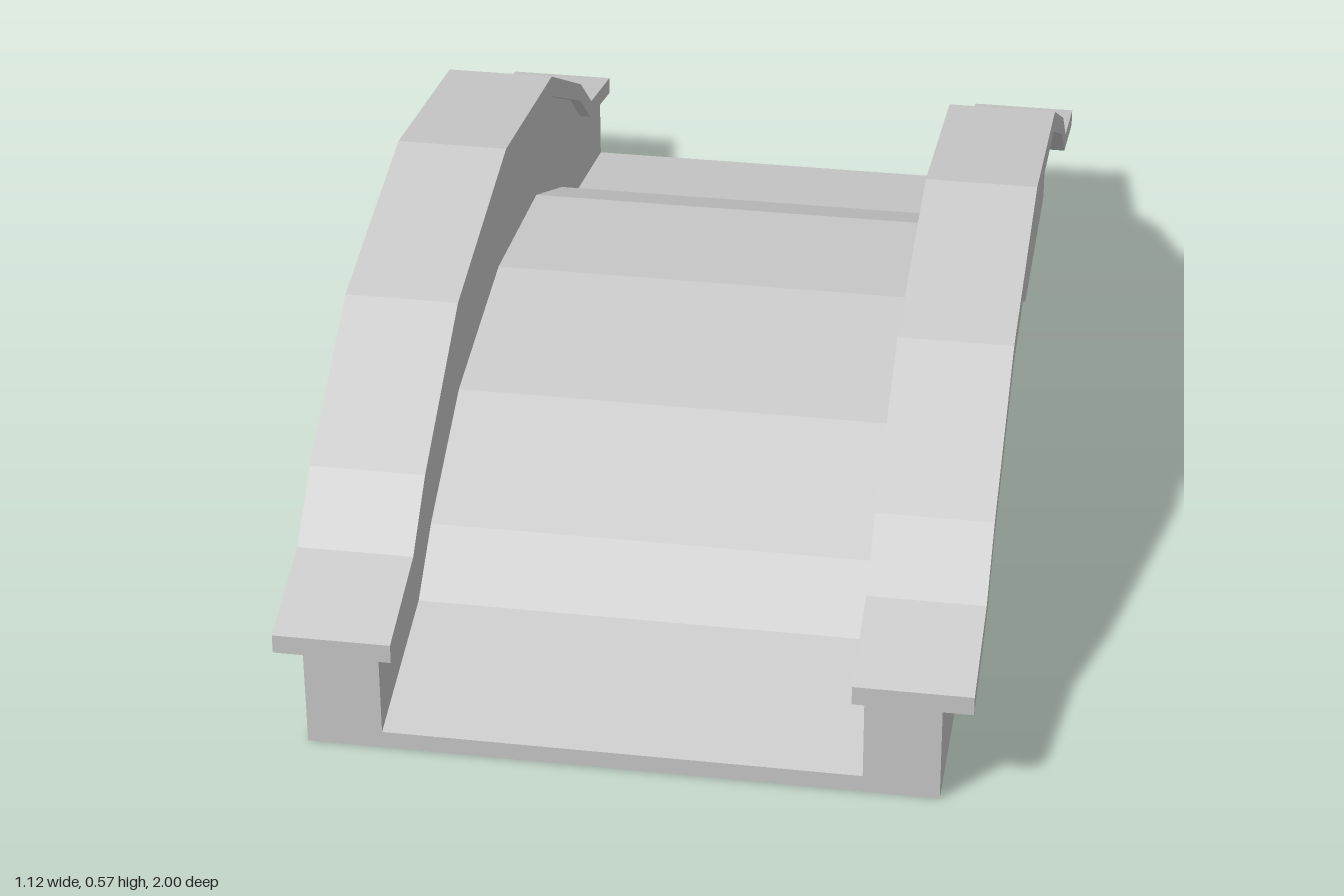
import * as THREE from 'three';

const CREST = 0.01; // z of the crown of the arch

// Half profiles as [distance from crown, height], running from crown to end
const underside = [[0, 0.267], [0.295, 0.232], [0.515, 0.135], [0.59, 0], [1, 0]];
const deckTop = [[0, 0.332], [0.35, 0.288], [0.595, 0.173], [0.705, 0.092], [1, 0.03]];
const capBottom = [[0, 0.527], [0.415, 0.462], [0.695, 0.31], [0.795, 0.223], [1, 0.167]];
const capTop = [[0, 0.57], [0.42, 0.5], [0.705, 0.34], [0.81, 0.25], [1, 0.2]];

// Full line from back to front, mirrored about the crown, ending at z = -1 and 1
function fullLine(half) {
  const point = (side) => ([d, y]) => new THREE.Vector2(d === 1 ? side : CREST + side * d, y);
  return [...half.slice(1).reverse().map(point(-1)), ...half.map(point(1))];
}

// Solid between two profile lines, spanning x0 to x1
function band(name, lower, upper, x0, x1, material) {
  const shape = new THREE.Shape([...fullLine(lower), ...fullLine(upper).reverse()]);
  const geometry = new THREE.ExtrudeGeometry(shape, { depth: x1 - x0, bevelEnabled: false });
  geometry.rotateY(-Math.PI / 2).translate(x1, 0, 0);
  const mesh = new THREE.Mesh(geometry, material);
  mesh.name = name;
  return mesh;
}

export function createModel() {
  const model = new THREE.Group();
  model.name = 'archedBridge';
  const material = new THREE.MeshStandardMaterial({ color: 0xcccccc, flatShading: true });

  // Walkway
  model.add(band('deck', underside, deckTop, -0.388, 0.388, material));

  // Parapet walls with overhanging coping on both sides
  for (const [side, s] of [['left', 1], ['right', -1]]) {
    const span = (a, b) => (s > 0 ? [a, b] : [-b, -a]);
    model.add(band(side + 'Parapet', underside, capBottom, ...span(0.388, 0.511), material));
    model.add(band(side + 'Coping', capBottom, capTop, ...span(0.368, 0.56), material));
  }
  return model;
}
